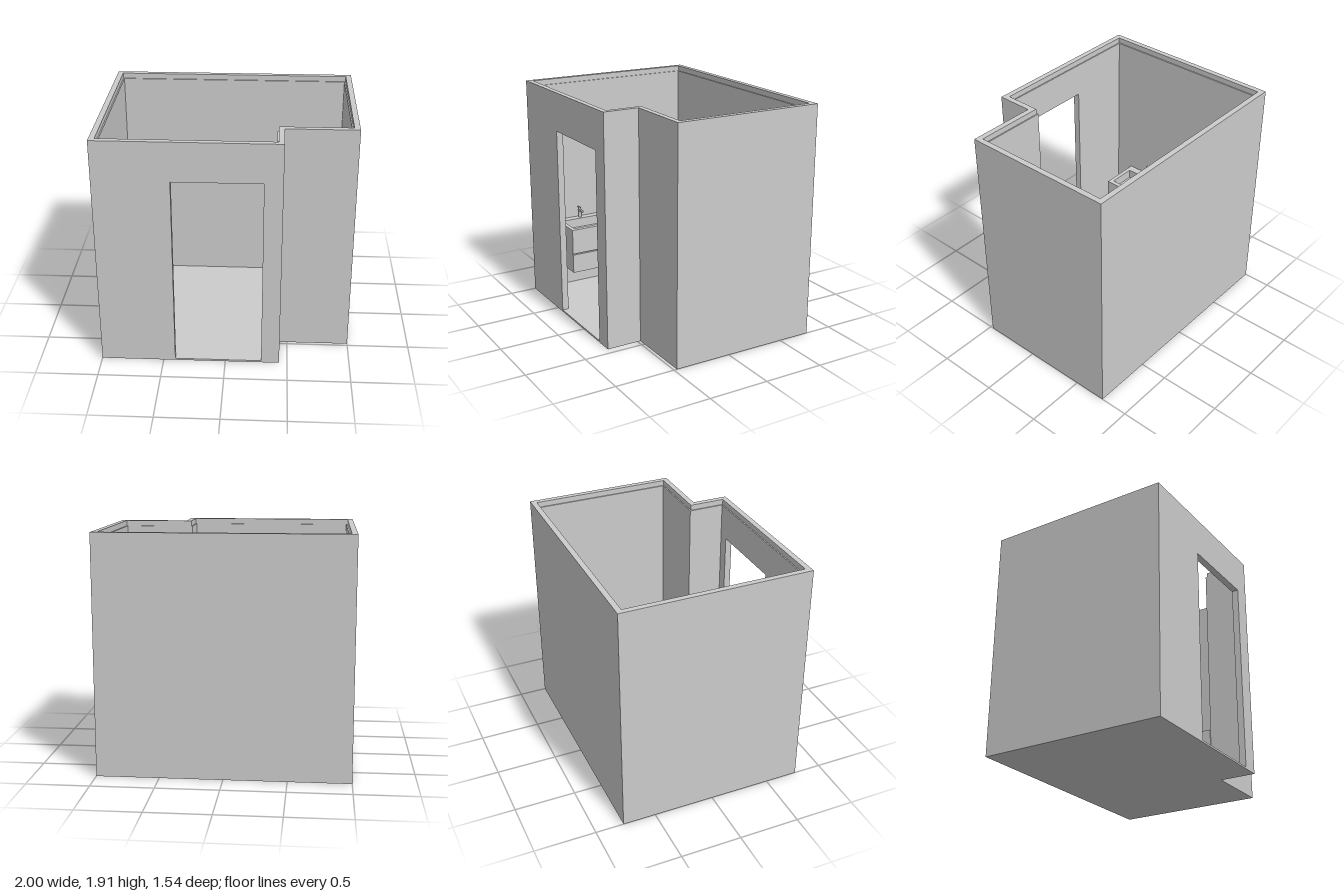
import * as THREE from 'three';
import { toCreasedNormals } from 'three/addons/utils/BufferGeometryUtils.js';

const material = new THREE.MeshStandardMaterial({ color: 0xcccccc });
const FLOOR = 0.015;
const DOOR = { x0: -0.405, x1: 0.29, top: 1.595 };

function mesh(name, geometry, x = 0, y = 0, z = 0) {
  const m = new THREE.Mesh(geometry, material);
  m.name = name;
  m.position.set(x, y, z);
  return m;
}

// Extrude a plan of [x, z] points upwards from y0 to y1
function plan(points, y0, y1, hole) {
  const toV = (p) => p.map(([x, z]) => new THREE.Vector2(x, -z));
  const shape = new THREE.Shape(toV(points));
  if (hole) shape.holes.push(new THREE.Path(toV(hole)));
  const g = new THREE.ExtrudeGeometry(shape, { depth: y1 - y0, bevelEnabled: false });
  return g.rotateX(-Math.PI / 2).translate(0, y0, 0);
}

// L-shaped room outline inset by d, starting and ending on the front wall
const outline = (d) => [
  [0.435 - d, 0.77 - d], [0.435 - d, 0.475 - d], [1 - d, 0.475 - d],
  [1 - d, -0.77 + d], [-1 + d, -0.77 + d], [-1 + d, 0.77 - d],
];

// Wall layer between two insets, with the doorway left open
function wallLayer(name, a, b, top) {
  const group = new THREE.Group();
  group.name = name;
  const open = (d) => [[DOOR.x1, 0.77 - d], ...outline(d), [DOOR.x0, 0.77 - d]];
  group.add(mesh(name + 'BesideDoor', plan([...open(a), ...open(b).reverse()], FLOOR, DOOR.top)));
  group.add(mesh(name + 'AboveDoor', plan(outline(a), DOOR.top, top, outline(b))));
  return group;
}

// Rounded rectangle in plan; rb rounds the -x corners, rf the +x corners
function ring(x0, x1, z0, z1, rb = 0, rf = rb, n = 8) {
  const pts = [];
  const corners = [[x1 - rf, z1 - rf, rf], [x0 + rb, z1 - rb, rb], [x0 + rb, z0 + rb, rb], [x1 - rf, z0 + rf, rf]];
  corners.forEach(([cx, cz, r], q) => {
    for (let i = 0; i <= n; i++) {
      const a = (q + i / n) * Math.PI / 2;
      pts.push([cx + r * Math.cos(a), cz + r * Math.sin(a)]);
    }
  });
  return pts;
}

// Skin sections [y, x0, x1, z0, z1, rb, rf]; both ends are closed
function loft(sections, crease = 0.6) {
  const centre = ([y, x0, x1, z0, z1]) => [y, (x0 + x1) / 2, (x0 + x1) / 2, (z0 + z1) / 2, (z0 + z1) / 2];
  const all = [centre(sections[0]), ...sections, centre(sections[sections.length - 1])];
  const position = [], index = [];
  let n = 0;
  all.forEach(([y, ...r]) => {
    const pts = ring(...r);
    n = pts.length;
    pts.forEach(([x, z]) => position.push(x, y, z));
  });
  for (let i = 0; i < all.length - 1; i++) {
    for (let j = 0; j < n; j++) {
      const k = (j + 1) % n, a = i * n, b = a + n;
      index.push(a + j, b + j, a + k, a + k, b + j, b + k);
    }
  }
  const g = new THREE.BufferGeometry();
  g.setAttribute('position', new THREE.Float32BufferAttribute(position, 3));
  g.setIndex(index);
  return toCreasedNormals(g, crease);
}

function bathtub() {
  const group = new THREE.Group();
  group.name = 'bathtub';
  group.add(mesh('tub', loft([
    [FLOOR, 0.38, 0.94, -0.71, 0.415],
    [0.43, 0.38, 0.94, -0.71, 0.415],
    [0.43, 0.44, 0.89, -0.66, 0.37, 0.03],
    [0.42, 0.447, 0.883, -0.652, 0.363, 0.035],
    [0.2, 0.485, 0.85, -0.53, 0.325, 0.05],
    [0.155, 0.5, 0.84, -0.49, 0.305, 0.05],
    [0.135, 0.525, 0.815, -0.46, 0.275, 0.05],
  ])));
  group.add(mesh('drain', new THREE.CylinderGeometry(0.03, 0.03, 0.01, 24), 0.665, 0.138, 0.21));
  const overflow = mesh('overflow', new THREE.CylinderGeometry(0.028, 0.028, 0.012, 24), 0.665, 0.36, 0.352);
  overflow.rotation.x = Math.PI / 2 - 0.17;
  group.add(overflow);
  return group;
}

function toilet() {
  const group = new THREE.Group();
  group.name = 'toilet';
  group.position.z = -0.302;
  // Wall-hung body, rim and inner bowl
  group.add(mesh('bowl', loft([
    [0.075, -0.945, -0.79, -0.06, 0.06, 0, 0.05],
    [0.1, -0.945, -0.765, -0.075, 0.075, 0, 0.07],
    [0.14, -0.945, -0.7, -0.09, 0.09, 0, 0.088],
    [0.2, -0.945, -0.64, -0.11, 0.11, 0, 0.108],
    [0.26, -0.945, -0.59, -0.127, 0.127, 0, 0.125],
    [0.32, -0.945, -0.56, -0.138, 0.138, 0, 0.135],
    [0.36, -0.945, -0.55, -0.14, 0.14, 0, 0.137],
    [0.36, -0.805, -0.59, -0.085, 0.085, 0.084, 0.084],
    [0.3, -0.805, -0.61, -0.077, 0.077, 0.076, 0.076],
    [0.24, -0.81, -0.66, -0.057, 0.057, 0.056, 0.056],
    [0.18, -0.81, -0.74, -0.034, 0.034, 0.033, 0.033],
  ])));
  group.add(mesh('seat', toCreasedNormals(
    plan(ring(-0.87, -0.546, -0.135, 0.135, 0.01, 0.134, 16), 0.362, 0.386,
      ring(-0.8, -0.592, -0.083, 0.083, 0.082, 0.082, 12)), 0.6)));
  for (const s of [-1, 1]) {
    group.add(mesh('seatHinge', new THREE.BoxGeometry(0.035, 0.02, 0.025), -0.86, 0.37, s * 0.122));
  }
  return group;
}

function vanity() {
  const group = new THREE.Group();
  group.name = 'vanity';
  const back = -0.945, front = -0.61, z = [0.108, 0.56];
  // Two drawer fronts parted by a groove, with the basin sunk in the top
  group.add(mesh('cabinet', loft([
    [0.245, back, front, ...z],
    [0.41, back, front, ...z],
    [0.41, back, front - 0.012, ...z],
    [0.42, back, front - 0.012, ...z],
    [0.42, back, front, ...z],
    [0.64, back, front, ...z],
    [0.64, -0.88, -0.65, 0.145, 0.525],
    [0.56, -0.88, -0.65, 0.145, 0.525],
  ])));
  group.add(mesh('basinDrain', new THREE.CylinderGeometry(0.009, 0.009, 0.006, 16), -0.83, 0.562, 0.34));
  group.add(mesh('tapBody', new THREE.CylinderGeometry(0.012, 0.014, 0.09, 20), -0.915, 0.685, 0.34));
  group.add(mesh('tapSpout', new THREE.BoxGeometry(0.07, 0.014, 0.022), -0.893, 0.705, 0.34));
  group.add(mesh('tapLever', new THREE.BoxGeometry(0.03, 0.008, 0.01), -0.922, 0.734, 0.348));
  return group;
}

export function createModel() {
  const model = new THREE.Group();
  model.name = 'bathroom';
  model.add(mesh('floor', plan(outline(0), 0, FLOOR)));
  model.add(wallLayer('wall', 0, 0.045, 1.915));
  // Thin inner lining stops just below the top of the walls
  model.add(wallLayer('lining', 0.045, 0.055, 1.87));
  model.add(bathtub(), toilet(), vanity());
  return model;
}
